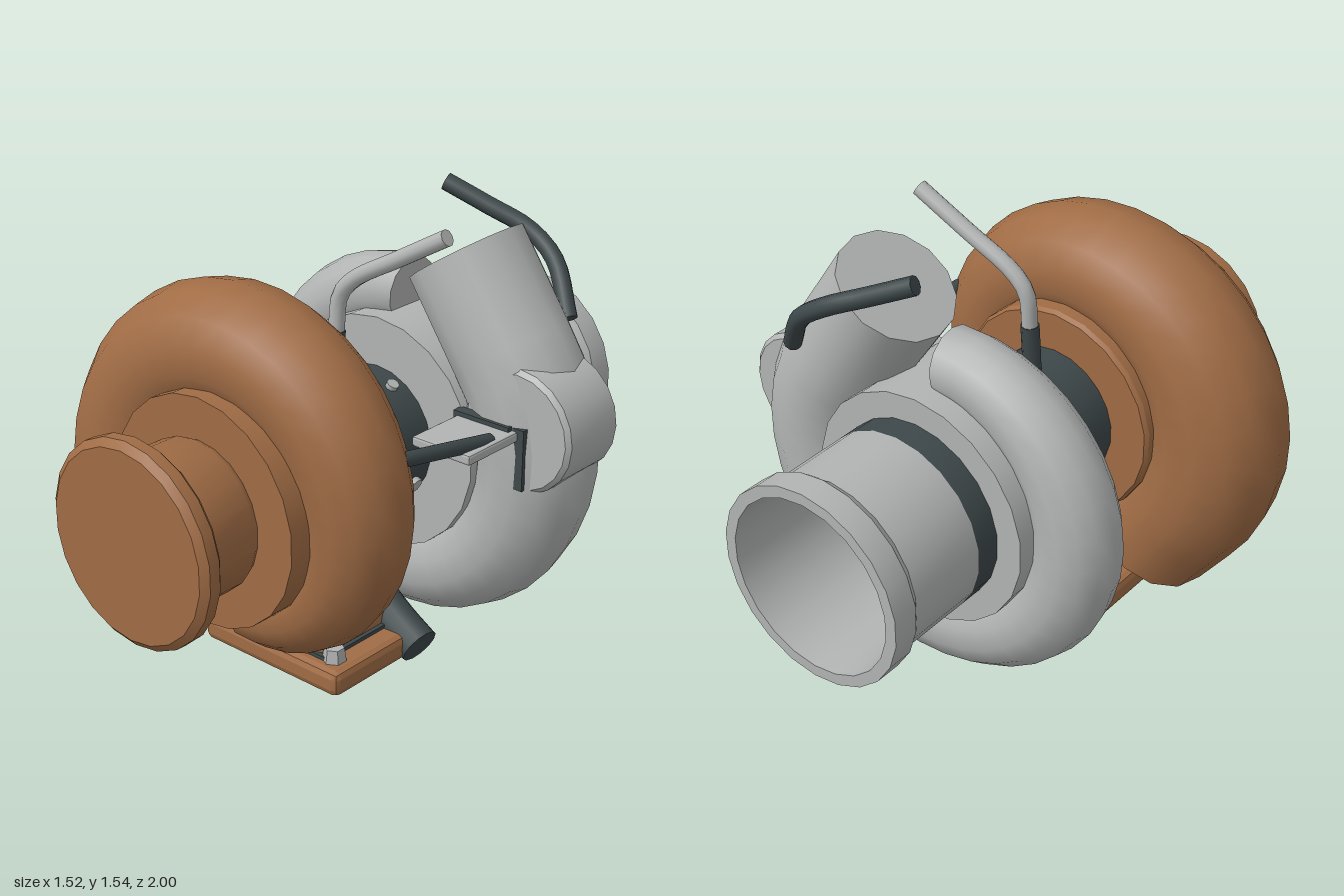
import * as THREE from 'three';
import { toCreasedNormals } from 'three/addons/utils/BufferGeometryUtils.js';
import { RoundedBoxGeometry } from 'three/addons/geometries/RoundedBoxGeometry.js';

const CX = -0.033, CY = 0.715; // shaft axis, along z

const material = (name, color) => {
  const m = new THREE.MeshStandardMaterial({ color });
  m.name = name;
  return m;
};

// Turned part around the shaft; profile of [radius, z], from low z to high z on the outside
function turned(profile, sides = 22) {
  const g = new THREE.LatheGeometry(profile.map(([r, z]) => new THREE.Vector2(r, z)), sides);
  g.rotateX(Math.PI / 2);
  g.translate(CX, CY, 0);
  return toCreasedNormals(g, 0.5);
}

// Growing spiral duct that ends in a straight run, with flat caps
function volute({ start, sweep, R0, R1, r0, r1, z, run, exit }) {
  const steps = 30, sides = 14, rings = [];
  for (let i = 0; i <= steps; i++) {
    const t = i / steps, a = start + sweep * t, R = R0 + (R1 - R0) * t;
    const tilt = Math.atan((R1 - R0) / sweep / R);
    rings.push({ x: CX + R * Math.cos(a), y: CY + R * Math.sin(a), r: r0 + (r1 - r0) * Math.min(1, t * 1.08), n: a - tilt });
  }
  const last = rings[steps];
  last.n = exit;
  rings.push({ ...last, x: last.x - Math.sin(exit) * run, y: last.y + Math.cos(exit) * run });
  const pos = [], idx = [];
  const addRing = (q) => {
    const base = pos.length / 3;
    for (let j = 0; j < sides; j++) {
      const b = (j / sides) * Math.PI * 2, c = q.r * Math.cos(b);
      pos.push(q.x + c * Math.cos(q.n), q.y + c * Math.sin(q.n), z + q.r * Math.sin(b));
    }
    return base;
  };
  rings.forEach(addRing);
  for (let i = 0; i < rings.length - 1; i++) {
    for (let j = 0; j < sides; j++) {
      const k = (j + 1) % sides, a = i * sides, b = a + sides;
      idx.push(a + j, b + j, b + k, a + j, b + k, a + k);
    }
  }
  [[rings[0], false], [rings[rings.length - 1], true]].forEach(([q, flip]) => {
    const base = addRing(q);
    for (let j = 1; j < sides - 1; j++) {
      if (flip) idx.push(base, base + j + 1, base + j);
      else idx.push(base, base + j, base + j + 1);
    }
  });
  const g = new THREE.BufferGeometry();
  g.setAttribute('position', new THREE.Float32BufferAttribute(pos, 3));
  g.setIndex(idx);
  g.computeVertexNormals();
  return g;
}

export function createModel() {
  const model = new THREE.Group();
  model.name = 'turbocharger';
  const copper = material('copper brown', 0xa06c45);
  const silver = material('silver grey', 0xb2b4b3);
  const dark = material('dark slate', 0x3e484a);

  const add = (name, geometry, mat) => {
    const m = new THREE.Mesh(geometry, mat);
    m.name = name;
    model.add(m);
    return m;
  };
  const block = (name, mat, [x0, x1], [y0, y1], [z0, z1], bevel) => {
    const w = x1 - x0, h = y1 - y0, d = z1 - z0;
    const g = bevel ? toCreasedNormals(new RoundedBoxGeometry(w, h, d, 1, bevel), 0.3) : new THREE.BoxGeometry(w, h, d);
    return add(name, g, mat).position.set((x0 + x1) / 2, (y0 + y1) / 2, (z0 + z1) / 2);
  };
  // Bent pipe with closed ends
  const pipe = (name, mat, points, r, sides = 10) => {
    const curve = new THREE.CatmullRomCurve3(points.map((p) => new THREE.Vector3(...p)), false, 'centripetal');
    add(name, new THREE.TubeGeometry(curve, 16, r, sides), mat);
    [0, 1].forEach((t) => {
      const cap = add(name + 'End', new THREE.CircleGeometry(r, sides), mat);
      const p = curve.getPointAt(t), d = curve.getTangentAt(t).multiplyScalar(t ? 1 : -1);
      cap.position.copy(p);
      cap.lookAt(p.clone().add(d));
    });
  };

  // Turbine side
  add('turbineVolute', volute({
    start: Math.PI * 1.5, sweep: 5.45, R0: 0.4, R1: 0.515, r0: 0.135, r1: 0.25,
    z: 0.45, run: 0.185, exit: 3.78,
  }), copper);
  add('turbineHub', turned([[0, 0.205], [0.375, 0.205], [0.385, 0.22], [0.385, 0.69], [0, 0.69]]), copper);
  add('turbineOutlet', turned([
    [0.24, 0.68], [0.255, 0.71], [0.255, 0.9], [0.235, 0.92], [0.32, 0.92],
    [0.34, 0.94], [0.34, 0.98], [0.315, 1], [0, 1],
  ]), copper);

  // Mounting foot
  block('footNeck', copper, [-0.235, 0.165], [0.08, 0.43], [0, 0.35], 0.04);
  block('footFlange', copper, [-0.34, 0.265], [0.03, 0.12], [-0.075, 0.405], 0.025);
  block('footGasket', dark, [-0.25, 0.18], [0.115, 0.133], [-0.01, 0.36]);
  for (const x of [-0.265, 0.19]) {
    for (const z of [0, 0.33]) {
      const bolt = add('footBolt', new THREE.CylinderGeometry(0.034, 0.042, 0.055, 6).toNonIndexed(), silver);
      bolt.geometry.computeVertexNormals();
      bolt.position.set(x, 0.14, z);
    }
  }

  // Bearing housing and its small fittings
  add('bearingHousing', turned([[0, -0.14], [0.24, -0.14], [0.24, 0.22], [0, 0.22]]), dark);
  for (const [a, z, r] of [[1.08, -0.075, 0.022], [-0.45, -0.065, 0.03], [2.1, -0.065, 0.04], [2.4, -0.065, 0.04]]) {
    const plug = add('housingPlug', new THREE.CylinderGeometry(r, r, 0.04, 8), silver);
    plug.position.set(CX + 0.235 * Math.cos(a), CY + 0.235 * Math.sin(a), z);
    plug.rotation.z = a - Math.PI / 2;
  }

  // Compressor side
  add('compressorVolute', volute({
    start: Math.PI / 2, sweep: 5.41, R0: 0.455, R1: 0.55, r0: 0.118, r1: 0.205,
    z: -0.312, run: 0.35, exit: 0.6,
  }), silver);
  add('compressorHub', turned([[0, -0.5], [0.41, -0.5], [0.41, -0.13], [0, -0.13]]), silver);
  add('inletBand', turned([[0, -0.54], [0.295, -0.54], [0.295, -0.59], [0.32, -0.59], [0.32, -0.49]]), dark);
  add('inletPipe', turned([
    [0.295, -0.588], [0.295, -0.88], [0.305, -1], [0.345, -1], [0.345, -0.91], [0.32, -0.88], [0.32, -0.59],
  ]), silver);

  // Bypass valve on the outlet side
  const valve = add('bypassValve', toCreasedNormals(new THREE.LatheGeometry([
    [0, -0.135], [0.195, -0.135], [0.21, -0.12], [0.21, 0.12], [0.195, 0.135], [0, 0.135],
  ].map((p) => new THREE.Vector2(...p)), 20), 0.5), silver);
  valve.rotation.x = Math.PI / 2;
  valve.position.set(0.535, 0.875, -0.278);

  // Actuator bracket and rod
  block('bracketShelf', silver, [0.33, 0.56], [0.855, 0.89], [-0.13, 0.12], 0.008);
  block('bracketTop', dark, [0.32, 0.54], [0.88, 0.905], [-0.14, -0.1]);
  block('bracketPlate', dark, [0.5, 0.585], [0.69, 0.9], [-0.15, -0.12]);
  const from = new THREE.Vector3(0.52, 0.88, -0.03), to = new THREE.Vector3(0.495, 0.955, 0.43);
  const rodLine = to.clone().sub(from), len = rodLine.length();
  const rod = add('actuatorRod', new THREE.LatheGeometry([
    [0, 0], [0.026, 0], [0.026, len - 0.08], [0.006, len],  [0, len],
  ].map((p) => new THREE.Vector2(...p)), 8), dark);
  rod.position.copy(from);
  rod.quaternion.setFromUnitVectors(new THREE.Vector3(0, 1, 0), rodLine.normalize());

  // Oil, pressure and drain lines
  pipe('oilFeed', silver, [[0.36, 1.515, 0], [0.18, 1.41, 0.02], [0.02, 1.315, 0.04], [-0.035, 1.25, 0.047], [-0.045, 1.12, 0.055]], 0.028);
  pipe('oilFeedFitting', dark, [[-0.045, 1.13, 0.055], [-0.045, 1, 0.065], [-0.045, 0.9, 0.07]], 0.031);
  pipe('pressureLine', dark, [[-0.03, 1.51, -0.475], [0.11, 1.445, -0.525], [0.25, 1.38, -0.57], [0.36, 1.3, -0.565], [0.47, 1.14, -0.5]], 0.031);
  pipe('oilDrain', dark, [[-0.033, 0.52, 0.03], [-0.02, 0.36, 0], [0.05, 0.21, -0.01], [0.16, 0.13, 0], [0.285, 0.065, 0.01]], 0.07, 12);

  return model;
}
